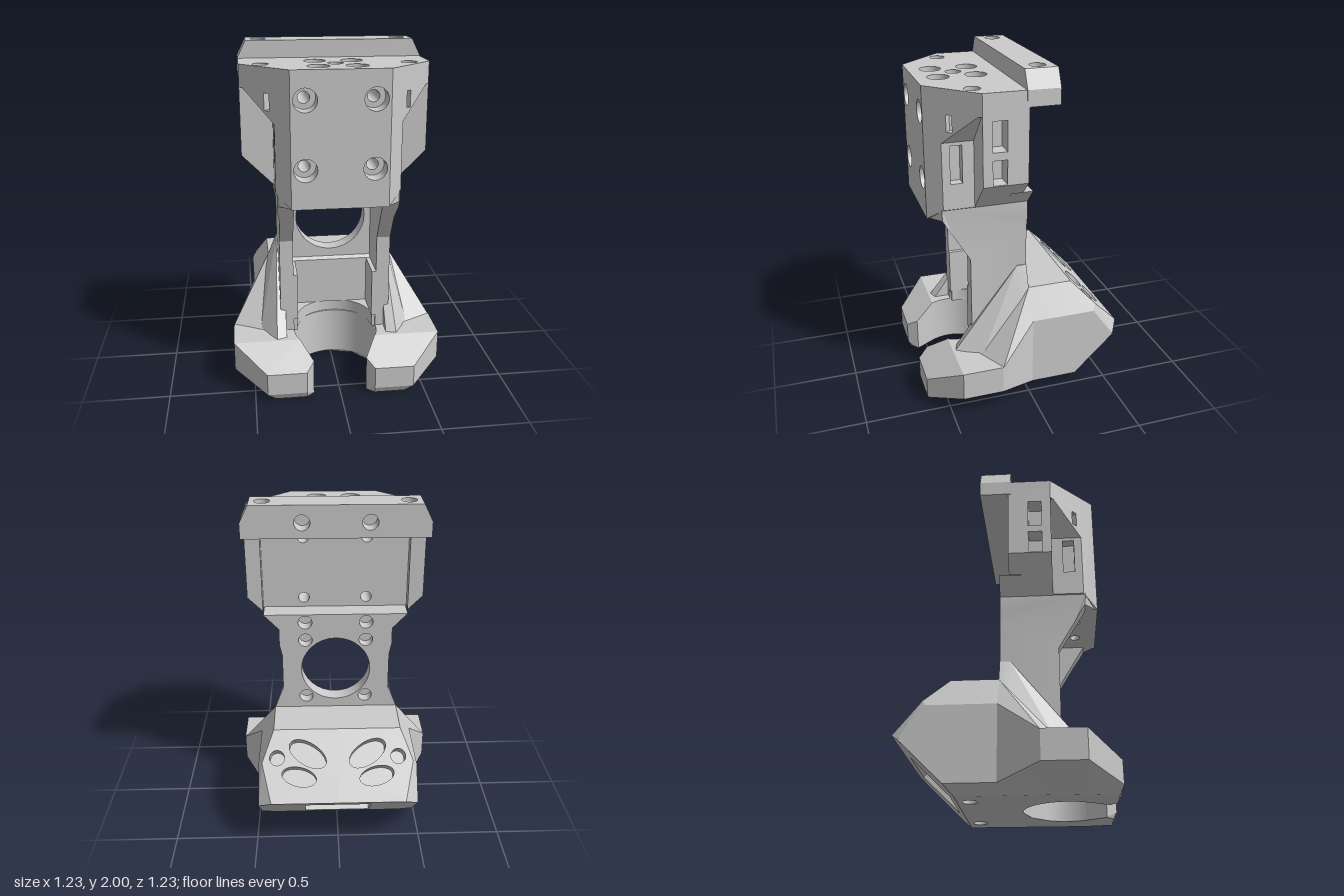
import * as THREE from 'three';
import { toCreasedNormals, mergeGeometries } from 'three/addons/utils/BufferGeometryUtils.js';
import { ConvexGeometry } from 'three/addons/geometries/ConvexGeometry.js';

const V = (a) => new THREE.Vector3(...a);
const V2 = (a) => new THREE.Vector2(...a);
const material = new THREE.MeshStandardMaterial({ color: 0xcccccc });

// keep positions only, so that geometries merge and get creased normals
function bare(geo) {
  const g = geo.index ? geo.toNonIndexed() : geo;
  const out = new THREE.BufferGeometry();
  out.setAttribute('position', g.getAttribute('position').clone());
  return out;
}
function part(name, ...geos) {
  const mesh = new THREE.Mesh(toCreasedNormals(mergeGeometries(geos.map(bare)), 0.25), material);
  mesh.name = name;
  return mesh;
}
const hull = (pts) => new ConvexGeometry(pts.map(V));
const side = (pts, s) => pts.map(([x, y, z]) => [x * s, y, z]);
const mirrored = (pts) => [...pts, ...side(pts, -1)];
const pairs = (f) => [1, -1].flatMap((s) => f(s));
const box = (x0, x1, y0, y1, z0, z1) =>
  new THREE.BoxGeometry(x1 - x0, y1 - y0, z1 - z0).translate((x0 + x1) / 2, (y0 + y1) / 2, (z0 + z1) / 2);
const fromPositions = (a) =>
  new THREE.BufferGeometry().setAttribute('position', new THREE.Float32BufferAttribute(a, 3));

// outline of a round, oval or rectangular hole, counter-clockwise
function holePath(h, c) {
  const rx = h.rx ?? h.r, ry = h.ry ?? h.r, pts = [];
  const n = h.rect ? 4 : 32, k = h.rect ? Math.SQRT2 : 1, start = h.rect ? Math.PI / 4 : 0;
  for (let i = 0; i < n; i++) {
    const t = (i / n) * Math.PI * 2 + start;
    pts.push(V2([Math.cos(t) * rx * k, Math.sin(t) * ry * k]).rotateAround(V2([0, 0]), h.rot ?? 0).add(c));
  }
  return pts;
}
function flat(outline, holes, z) {
  const s = new THREE.Shape(outline);
  s.holes = holes.map((p) => new THREE.Path(p));
  return bare(new THREE.ShapeGeometry(s)).translate(0, 0, z);
}
// inward-facing wall of a hole
function wall(path, top, bottom) {
  const a = [];
  path.forEach((p, i) => {
    const q = path[(i + 1) % path.length];
    a.push(p.x, p.y, bottom, q.x, q.y, top, q.x, q.y, bottom, p.x, p.y, bottom, p.x, p.y, top, q.x, q.y, top);
  });
  return fromPositions(a);
}
// convex body with holes sunk into chosen faces: drills = [[normal, holes], ...]; no holes = face left open
function drilled(points, drills) {
  const pos = hull(points).getAttribute('position'), corners = points.map(V);
  const faces = drills.map(([dir, holes]) => {
    const n = V(dir).normalize(), top = Math.max(...corners.map((p) => p.dot(n)));
    return { n, holes, on: (p) => p.dot(n) > top - 0.003 };
  });
  const rest = [], geos = [];
  for (let i = 0; i < pos.count; i += 3) {
    const t = [0, 1, 2].map((k) => new THREE.Vector3().fromBufferAttribute(pos, i + k));
    if (!faces.some((f) => t.every(f.on))) t.forEach((p) => rest.push(p.x, p.y, p.z));
  }
  geos.push(fromPositions(rest));
  for (const { n, holes, on } of faces) {
    if (!holes) continue;
    const up = Math.abs(n.y) > 0.9 ? V([0, 0, -1]) : V([0, 1, 0]);
    up.addScaledVector(n, -up.dot(n)).normalize();
    const right = up.clone().cross(n), pts = corners.filter(on);
    const o = pts.reduce((s, p) => s.add(p), V([0, 0, 0])).divideScalar(pts.length);
    const to2 = (p) => { const d = p.clone().sub(o); return V2([d.dot(right), d.dot(up)]); };
    const out = pts.map(to2).sort((a, b) => Math.atan2(a.y, a.x) - Math.atan2(b.y, b.x));
    const cut = holes.map((h) => ({ h, c: to2(V(h.p)) }));
    const local = [flat(out, cut.map(({ h, c }) => holePath(h, c)), 0)];
    for (const { h, c } of cut) {
      if (!h.d) continue;
      const path = holePath(h, c), inner = h.inner && holePath({ r: h.inner }, c);
      local.push(wall(path, 0, -h.d));
      if (!h.open) local.push(flat(path, inner ? [inner] : [], -h.d));
      if (inner) local.push(wall(inner, -h.d, -h.end));
    }
    geos.push(mergeGeometries(local).applyMatrix4(new THREE.Matrix4().makeBasis(right, up, n).setPosition(o)));
  }
  return mergeGeometries(geos);
}

export function createModel() {
  const g = new THREE.Group();
  g.name = 'bracket';

  // head core with bolt holes
  const core = mirrored([[0.35, 1.9, 0.1], [0.35, 1.21, 0.1], [0.27, 1.14, 0.1],
    [0.35, 1.9, 0.465], [0.35, 1.21, 0.465], [0.27, 1.14, 0.545], [0.27, 1.9, 0.545]]);
  const grid = pairs((s) => [0.2, 0.415].map((z) => [s * 0.105, z]));
  const bolts = pairs((s) => [1.36, 1.74].map((y) => [s * 0.19, y]));
  const sideSlot = (s) => [{ p: [s * 0.35, 1.47, 0.385], rx: 0.034, ry: 0.11, rect: true, d: 0.06 }];
  g.add(part('headCore', drilled(core, [
    [[0, 1, 0], [...grid.map(([x, z]) => ({ p: [x, 1.9, z], r: 0.062, d: 0.05, inner: 0.03, end: 0.76 })),
      { p: [0, 1.9, 0.305], r: 0.045, d: 0.76, open: true }]],
    [[0, -1, 0], [...grid.map(([x, z]) => ({ p: [x, 1.14, z], r: 0.03 })), { p: [0, 1.14, 0.305], r: 0.045 }]],
    [[0, 0, 1], bolts.map(([x, y]) => ({ p: [x, y, 0.545], r: 0.065, d: 0.1, inner: 0.033, end: 0.445 }))],
    [[0, 0, -1], bolts.map(([x, y]) => ({ p: [x, y, 0.1], r: 0.033 }))],
    [[1, 0, 0], sideSlot(1)], [[-1, 0, 0], sideSlot(-1)],
  ])));

  for (const s of [1, -1]) {
    // wing with two side windows
    const wing = [0.1, 0.285].flatMap((z) =>
      [[0.34, 1.2, z], [0.53, 1.39, z], [0.53, 1.775, z], [0.34, 1.775, z]]);
    g.add(part('headWing', drilled(side(wing, s), [[[s, 0, 0], [1.465, 1.665].map((y, i) =>
      ({ p: [s * 0.53, y, 0.19], rx: 0.04, ry: i ? 0.085 : 0.07, rect: true, d: 0.1 }))]])));
    // bevelled corner: upper cap, and a wedge cut away diagonally below
    const cap = [1.775, 1.9].flatMap((y) => [[0.34, y, 0.1], [0.53, y, 0.1], [0.53, y, 0.285], [0.34, y, 0.475]]);
    g.add(part('headCap', drilled(side(cap, s), [
      [[0, 1, 0], [{ p: [s * 0.41, 1.9, 0.305], r: 0.045, d: 0.08 }]]])));
    const wedge = [[0.35, 1.6], [0.513, 1.775], [0.35, 1.775]]
      .flatMap(([x, y]) => [[x, y, 0.28], [x, y, 0.815 - x]]);
    g.add(part('headWedge', drilled(side(wedge, s), [
      [[s, 0, 1], [{ p: [s * 0.387, 1.715, 0.428], rx: 0.018, ry: 0.047, rect: true, d: 0.05 }]]])));
    // rear cheek beside the recessed back panel
    g.add(part('rearCheek', hull(side([0.03, 0.1].flatMap((z) =>
      [[0.44, 1.9, z], [0.53, 1.9, z], [0.53, 1.39, z], [0.44, 1.3, z]]), s))));
  }
  g.add(part('lintel', box(-0.53, 0.53, 1.81, 1.9, 0.03, 0.1)));
  g.add(part('ledge', drilled(mirrored([-0.03, 0.1].flatMap((z) => [[0.34, 1.2, z], [0.435, 1.3, z]])), [
    [[0, 0, -1], pairs((s) => [{ p: [s * 0.185, 1.248, -0.03], r: 0.042, d: 0.08 }])]])));

  // top beam overhanging the back
  const beam = mirrored([-0.14, 0.045].flatMap((z) => [[0.535, 1.81, z], [0.535, 1.9, z], [0.485, 2, z]]));
  g.add(part('topBeam', drilled(beam, [
    [[0, 1, 0], pairs((s) => [{ p: [s * 0.41, 2, -0.05], r: 0.045, d: 0.04 }])],
    [[0, 0, -1], pairs((s) => [{ p: [s * 0.19, 1.9, -0.14], r: 0.045, d: 0.1 }])],
  ])));

  // leg: side walls
  for (const s of [1, -1]) {
    const profile = [[-0.03, 0.29], [0.31, 0.29], [0.31, 0.87], [0.405, 1.03], [0.447, 1.1],
      [0.47, 1.14], [0.475, 1.21], [-0.03, 1.21], [-0.03, 1.1], [-0.03, 1.03]];
    const geo = new THREE.ExtrudeGeometry(new THREE.Shape(profile.map(([z, y]) => V2([-z, y]))),
      { depth: 0.08, bevelEnabled: false }).rotateY(Math.PI / 2).translate(s > 0 ? 0.25 : -0.33, 0, 0);
    const p = geo.getAttribute('position');
    for (let i = 0; i < p.count; i++) if (Math.abs(p.getX(i)) > 0.3 && p.getY(i) > 1.08) p.setX(i, s * 0.345);
    g.add(part('legWall', geo));
    // pointed web joining the wall to the head's front corner
    g.add(part('legWeb', hull(side([[0.25, 1.14, 0.47], [0.345, 1.14, 0.465], [0.27, 1.14, 0.53], [0.272, 1.27, 0.54],
      [0.345, 1.2, 0.47], [0.25, 1.2, 0.45]], s))));
  }
  // leg: back plate with the large opening
  const plate = mirrored([0.66, 1.2].flatMap((y) => [[0.26, y, -0.03], [0.26, y, 0.07]]));
  g.add(part('backPlate', drilled(plate, [
    [[0, 0, -1], [{ p: [0, 0.93, -0.03], r: 0.213, d: 0.1, open: true },
      ...pairs((s) => [1.13, 0.74].map((y) => ({ p: [s * 0.185, y, -0.03], r: 0.042, d: 0.07 })))]],
    [[0, 0, 1], [{ p: [0, 0.93, 0.07], r: 0.213 }]],
  ])));
  // leg: flat inner panel with a sloped sill, above an upright half-cylinder hollow
  g.add(part('innerPanel', box(-0.32, 0.32, 0.36, 0.65, -0.03, 0.09),
    hull(mirrored([[0.25, 0.65, -0.03], [0.25, 0.65, 0.09], [0.25, 0.7, -0.03], [0.25, 0.7, 0.03]])),
    ...pairs((s) => [box(s > 0 ? 0.225 : -0.32, s > 0 ? 0.32 : -0.225, 0.36, 0.65, 0.05, 0.31)])));
  const col = new THREE.Shape([[-0.32, 0.03], [-0.32, -0.3], [-0.23, -0.3]].map(V2));
  col.absarc(0, -0.3, 0.23, Math.PI, 0, true);
  col.lineTo(0.32, -0.3).lineTo(0.32, 0.03);
  g.add(part('lowerColumn', new THREE.ExtrudeGeometry(col, { depth: 0.08, bevelEnabled: false, curveSegments: 32 })
    .rotateX(-Math.PI / 2).translate(0, 0.28, 0)));

  // foot: middle with the round notch, its lower outer edge bevelled
  const base = new THREE.Shape([[-0.48, 0.03], [-0.615, -0.2], [-0.615, -0.44], [-0.2245, -0.44]].map(V2));
  base.absarc(0, -0.33, 0.25, Math.PI + 0.456, -0.456, true);
  base.lineTo(0.615, -0.44).lineTo(0.615, -0.2).lineTo(0.48, 0.03);
  const baseGeo = new THREE.ExtrudeGeometry(base, { depth: 0.29, steps: 2, bevelEnabled: false, curveSegments: 32 })
    .rotateX(-Math.PI / 2);
  const bp = baseGeo.getAttribute('position');
  for (let i = 0; i < bp.count; i++) {
    const y = bp.getY(i), x = bp.getX(i), outer = Math.abs(x) > 0.6;
    if (y > 0.1 && y < 0.2) bp.setY(i, outer ? 0.12 : 0.05);
    if (y < 0.01 && Math.abs(x) > 0.4) bp.setX(i, Math.sign(x) * (outer ? 0.406 : 0.4));
  }
  g.add(part('footMiddle', baseGeo));

  for (const s of [1, -1]) {
    g.add(part('toe', hull(side([[0.2245, 0, 0.44], [0.2245, 0.29, 0.44], [0.615, 0.12, 0.44], [0.615, 0.29, 0.44],
      [0.406, 0, 0.44], [0.155, 0, 0.56], [0.155, 0.21, 0.56], [0.2, 0.04, 0.62], [0.2, 0.17, 0.62],
      [0.43, 0.04, 0.62], [0.43, 0.17, 0.62], [0.38, 0, 0.6], [0.2, 0, 0.6]], s))));
    // ramp rising from the foot to the heel
    g.add(part('ramp', hull(side([[0.615, 0.285, 0.2], [0.48, 0.48, -0.03], [0.385, 0.66, -0.03], [0.3, 0.66, -0.03],
      [0.3, 0.34, 0.26], [0.42, 0.29, 0.3], [0.3, 0.28, 0.3], [0.48, 0.28, -0.03]], s))));
    // fairing between leg and ramp
    g.add(part('fairing', hull(side([[0.3, 0.79, -0.03], [0.335, 0.79, -0.03], [0.335, 0.79, 0.03], [0.3, 0.42, 0.31],
      [0.335, 0.42, 0.31], [0.3, 0.28, 0.41], [0.36, 0.28, 0.43], [0.4, 0.62, -0.03], [0.42, 0.54, 0.03],
      [0.45, 0.3, 0.27], [0.3, 0.28, -0.03], [0.42, 0.28, 0.03]], s))));
  }

  // heel body, open at its upper slope, with a recess in its lower slope
  const k = 0.32 / 0.31, onSlope = (x, z) => [x, 0.66 + (z + 0.3) * k, z];
  const heel = mirrored([[0.385, 0.66, -0.03], onSlope(0.385, -0.3), [0.48, 0.48, -0.03], [0.48, 0.48, -0.42],
    onSlope(0.455, -0.44), onSlope(0.4, -0.61), [0.48, 0.29, -0.5585], [0.48, 0.05, -0.3115], [0.4, 0, -0.26],
    [0.48, 0.05, -0.03], [0.4, 0, -0.03]]);
  g.add(part('heel', drilled(heel, [
    [[0, 1, -k], null],
    [[0, -0.35, -0.34], [{ p: [0, 0.16, -0.425], rx: 0.2, ry: 0.16, rect: true, d: 0.08 }]],
    [[0, -1, 0], pairs((s) => [{ p: [s * 0.27, 0, -0.19], r: 0.042, d: 0.06 }])],
  ])));
  // upper slope in cells of plan points (x, z), each with one sunk pocket
  const J = [0.305, -0.4264], M = [0.345, -0.462], L = [0.4447, -0.472];
  const cells = [
    [[[0, -0.3], [0.32, -0.3], J, [0, -0.514]], [0.18, -0.405], { rx: 0.117, ry: 0.05 }, 0.35],
    [[[0.32, -0.3], [0.385, -0.3], [0.455, -0.44], L, M, J], [0.365, -0.42], { rx: 0.045, ry: 0.032 }, 0],
    [[[0, -0.514], J, M, L, [0.4, -0.61], [0, -0.61]], [0.233, -0.5], { rx: 0.104, ry: 0.04 }, 0.14],
  ];
  const slope = pairs((s) => cells.flatMap(([outline, [x, z], h, tilt]) => {
    const path = holePath({ ...h, rot: -s * tilt }, V2([s * x, -z]));
    return [flat(outline.map(([a, b]) => V2([s * a, -b])), [path], 0), wall(path, 0, -0.1), flat(path, [], -0.1)];
  }));
  const slopeFrame = new THREE.Matrix4()
    .makeBasis(V([1, 0, 0]), V([0, -k, -1]), V([0, 1, -k]).normalize()).setPosition(0, 0.66 + 0.3 * k, 0);
  g.add(part('heelSlope', mergeGeometries(slope).applyMatrix4(slopeFrame)));
  return g;
}
